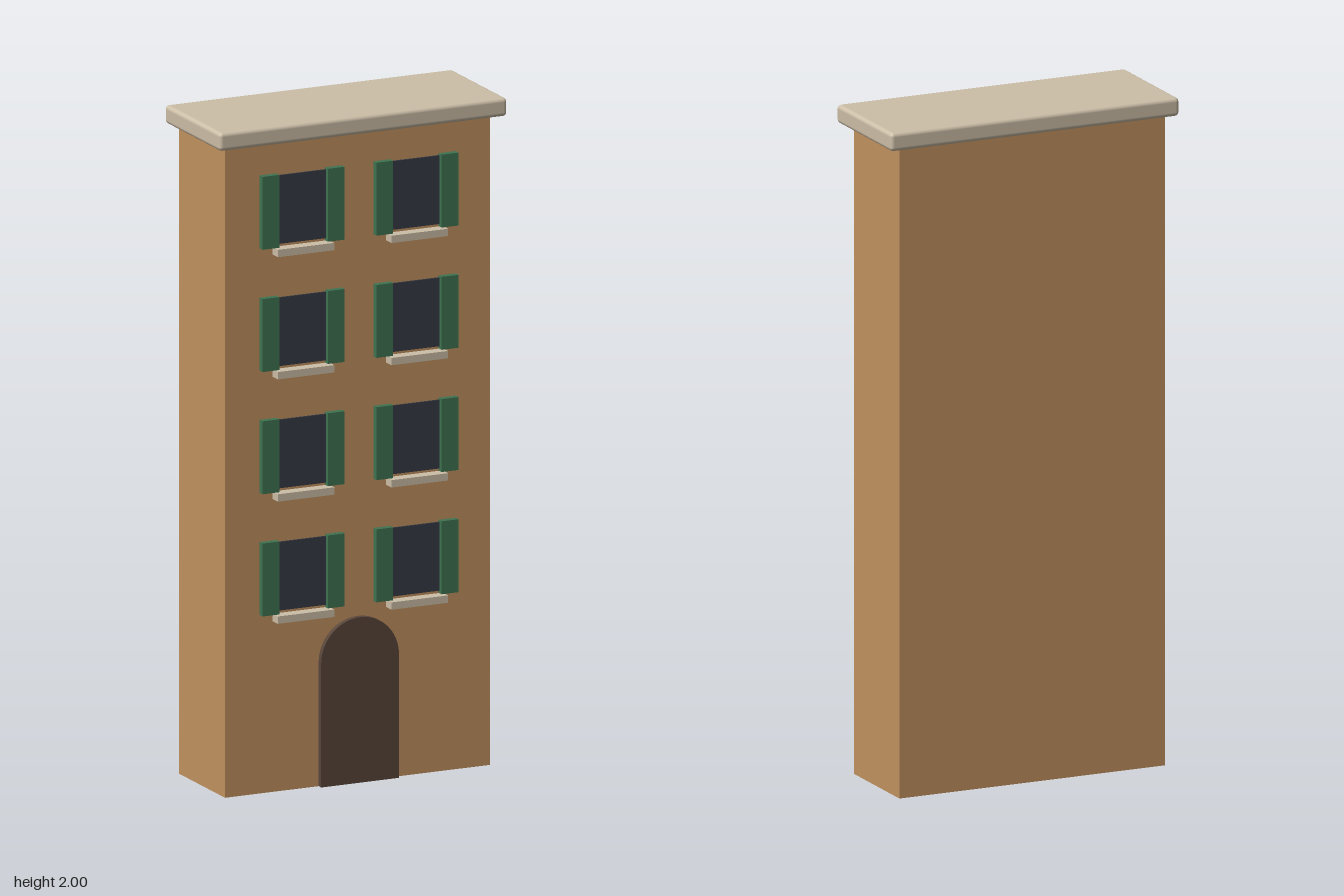
import * as THREE from 'three';
import { RoundedBoxGeometry } from 'three/addons/geometries/RoundedBoxGeometry.js';

const material = (name, color) => {
  const m = new THREE.MeshStandardMaterial({ color });
  m.name = name;
  return m;
};

export function createModel() {
  const plaster = material('ochre plaster', 0xc29260);
  const stone = material('pale stone', 0xcdbfa8);
  const green = material('green paint', 0x3f7350);
  const glass = material('dark glass', 0x363a44);
  const wood = material('dark wood', 0x59463b);

  const house = new THREE.Group();
  house.name = 'townhouse';
  const wallZ = 0.142; // front face of the wall

  const add = (parent, name, geometry, mat, x, y, z) => {
    const mesh = new THREE.Mesh(geometry, mat);
    mesh.name = name;
    mesh.position.set(x, y, z);
    parent.add(mesh);
    return mesh;
  };

  // Body and overhanging roof slab
  add(house, 'walls', new THREE.BoxGeometry(0.852, 1.948, 0.304), plaster, 0, 0.974, wallZ - 0.152);
  add(house, 'roofSlab', new RoundedBoxGeometry(0.926, 0.055, 0.366, 3, 0.012), stone, 0, 1.9725, 0);

  // Arched door
  const r = 0.125, spring = 0.37;
  const arch = new THREE.Shape();
  arch.moveTo(-r, 0);
  arch.lineTo(r, 0);
  arch.lineTo(r, spring);
  arch.absarc(0, spring, r, 0, Math.PI, false);
  arch.closePath();
  const doorGeometry = new THREE.ExtrudeGeometry(arch, { depth: 0.017, bevelEnabled: false, curveSegments: 16 });
  add(house, 'door', doorGeometry, wood, 0, 0, wallZ);

  // Windows, each with two shutters and a sill
  const paneGeometry = new THREE.BoxGeometry(0.158, 0.205, 0.008);
  const shutterGeometry = new THREE.BoxGeometry(0.054, 0.218, 0.02);
  const sillGeometry = new THREE.BoxGeometry(0.182, 0.022, 0.036);
  for (let floor = 0; floor < 4; floor++) {
    for (const side of [-1, 1]) {
      const unit = new THREE.Group();
      unit.name = 'window';
      unit.position.set(side * 0.183, 0.643 + floor * 0.3655, wallZ);
      add(unit, 'pane', paneGeometry, glass, 0, 0.001, 0.002);
      for (const s of [-1, 1]) add(unit, 'shutter', shutterGeometry, green, s * 0.105, 0, 0.01);
      add(unit, 'sill', sillGeometry, stone, 0, -0.121, 0.018);
      house.add(unit);
    }
  }
  return house;
}
